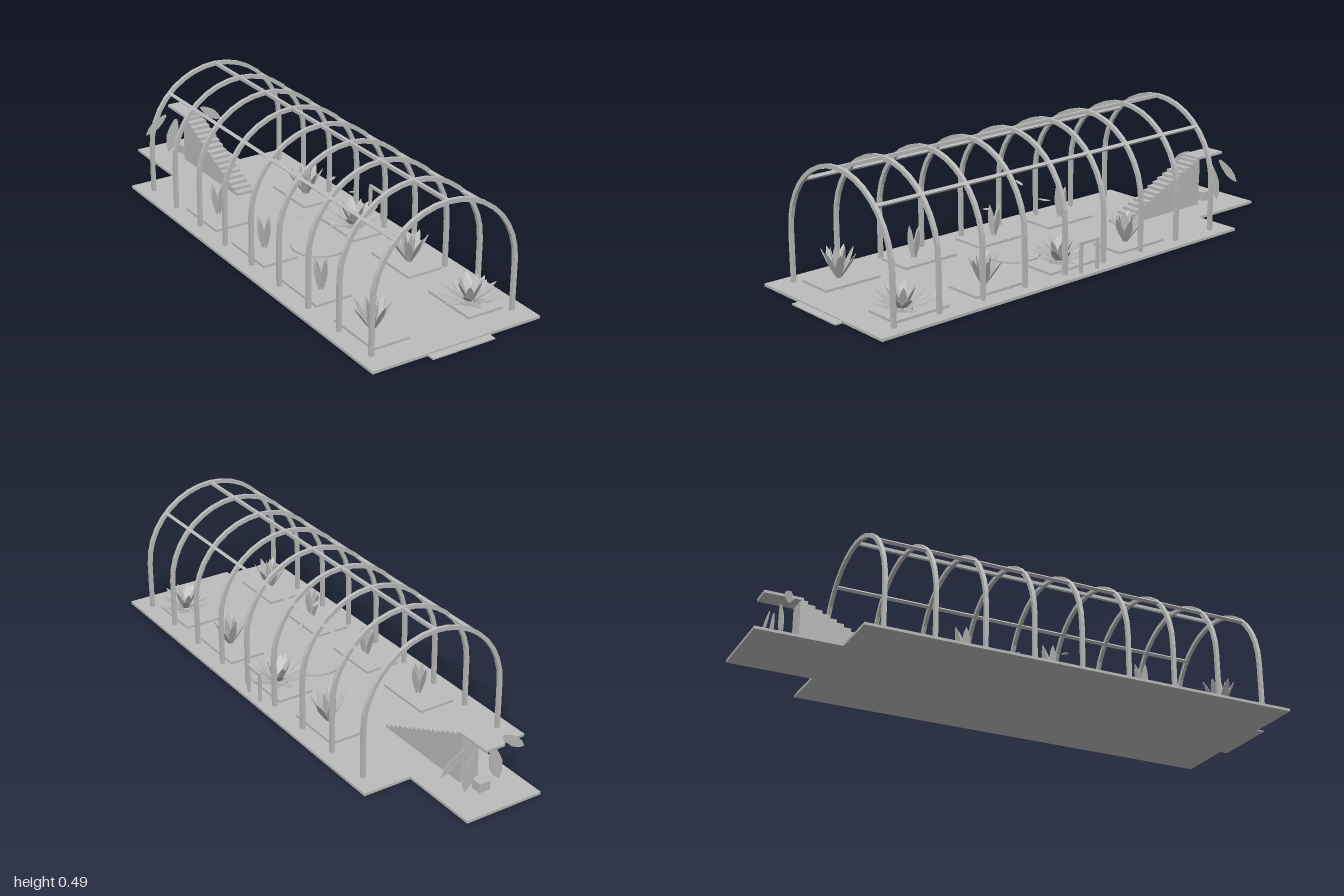
import * as THREE from 'three';

const stone = new THREE.MeshStandardMaterial({ color: 0xbcbcbc, flatShading: true });
stone.name = 'plain grey';

export function createModel() {
  const root = new THREE.Group();
  root.name = 'greenhouse';

  const add = (name, geo, parent = root) => {
    const m = new THREE.Mesh(geo, stone);
    m.name = name;
    parent.add(m);
    return m;
  };
  // Box given by its limits on each axis
  const box = (name, x0, x1, y0, y1, z0, z1, parent = root) => {
    const m = add(name, new THREE.BoxGeometry(x1 - x0, y1 - y0, z1 - z0), parent);
    m.position.set((x0 + x1) / 2, (y0 + y1) / 2, (z0 + z1) / 2);
    return m;
  };
  const extrude = (points, depth) => new THREE.ExtrudeGeometry(
    new THREE.Shape(points.map(p => new THREE.Vector2(p[0], p[1]))),
    { depth, bevelEnabled: false });

  // Floor slabs
  box('floor', -0.338, 0.338, 0, 0.01, -0.69, 0.97);
  box('backPlatform', -0.152, 0.152, 0, 0.01, -1, -0.69);
  box('frontStep', -0.125, 0.125, 0, 0.005, 0.97, 1);

  // Arched ribs
  const springY = 0.195, outer = 0.293, inner = 0.278;
  const arch = [[outer, 0.01]];
  for (let i = 0; i <= 18; i++) {
    const a = i * Math.PI / 18;
    arch.push([outer * Math.cos(a), springY + outer * Math.sin(a)]);
  }
  arch.push([-outer, 0.01], [-inner, 0.01]);
  for (let i = 18; i >= 0; i--) {
    const a = i * Math.PI / 18;
    arch.push([inner * Math.cos(a), springY + inner * Math.sin(a)]);
  }
  arch.push([inner, 0.01]);
  const archGeo = extrude(arch, 0.014).translate(0, 0, -0.007);
  for (let i = 0; i < 9; i++) add('archRib', archGeo).position.z = -0.604 + i * 0.1862;

  // Long roof bars tying the ribs together
  for (const a of [-1, 0, 1].map(s => s * Math.PI / 4)) {
    const bar = add('roofBar', new THREE.BoxGeometry(0.012, 0.012, 1.49));
    bar.position.set(0.2855 * Math.sin(a), springY + 0.2855 * Math.cos(a), 0.141);
    bar.rotation.z = -a;
  }

  // Staircase with a solid side and an overhanging landing
  const steps = 16, profile = [[0.385, 0.01]];
  for (let i = 0; i < steps; i++) {
    const y = 0.01 + (i + 1) * 0.185 / steps;
    profile.push([0.385 + i * 0.425 / steps, y], [0.385 + (i + 1) * 0.425 / steps, y]);
  }
  profile.push([0.81, 0.01]);
  add('staircase', extrude(profile, 0.075).rotateY(Math.PI / 2).translate(-0.0375, 0, 0));
  box('landing', -0.039, 0.039, 0.194, 0.204, -0.94, -0.8);

  // Flat leaf growing along +y from the origin
  const leafGeo = (length, width) => extrude([
    [-0.12, 0], [0.12, 0], [0.38, 0.25], [0.5, 0.52], [0.34, 0.8], [0, 1],
    [-0.34, 0.8], [-0.5, 0.52], [-0.38, 0.25],
  ].map(([x, y]) => [x * width, y * length]), 0.002).translate(0, 0, -0.001);

  // Hanging leaves and pedestal under the landing
  box('pedestal', -0.022, 0.022, 0.01, 0.045, -0.897, -0.855);
  for (const s of [-1, 1]) {
    for (const [x0, y0, x1, y1, w] of [
      [0.08, 0.187, 0.173, 0.118, 0.038], [0.035, 0.16, 0.072, 0.025, 0.055]]) {
      const leaf = add('hangingLeaf', leafGeo(Math.hypot(x1 - x0, y1 - y0), w));
      leaf.position.set(s * x0, y0, -0.88);
      leaf.rotation.z = -Math.atan2(s * (x1 - x0), y1 - y0);
    }
  }

  // A plant is a set of rings: [leaf count, tilt in degrees, length, width]
  const plant = (name, x, z, rings) => {
    const g = new THREE.Group();
    g.name = name;
    g.position.set(x, 0.018, z);
    rings.forEach(([n, tilt, length, width], r) => {
      const geo = leafGeo(length, width);
      for (let i = 0; i < n; i++) {
        const leaf = add('leaf', geo, g);
        const turn = (i + r * 0.5) * 2 * Math.PI / n + 0.2;
        leaf.rotation.set((tilt + (i % 3 - 1) * 4) * Math.PI / 180, turn, 0, 'YXZ');
        leaf.position.set(Math.sin(turn) * 0.008, 0.004, Math.cos(turn) * 0.008);
      }
    });
    root.add(g);
    return g;
  };
  const upright = [[7, 30, 0.115, 0.03], [5, 9, 0.112, 0.026]];
  const rosette = [[11, 73, 0.105, 0.028], [9, 53, 0.105, 0.028], [7, 27, 0.095, 0.026]];
  const bud = [[4, 9, 0.115, 0.03]];

  // Planting beds in two rows
  [-0.266, -0.04, 0.41, 0.75].forEach((_, i) => {
    const z = -0.266 + i * 0.339;
    box('leftBed', 0.12, 0.263, 0.01, 0.019, z - 0.114, z + 0.114);
    box('rightBed', -0.263, -0.12, 0.01, 0.019, z - 0.114, z + 0.114);
  });
  [[-0.25, upright], [0.08, rosette], [0.43, upright], [0.78, rosette]].forEach(([z, rings]) => {
    const g = plant(rings === rosette ? 'rosettePlant' : 'uprightPlant', 0.19, z, rings);
    if (rings === rosette) {
      add('plantBase', new THREE.CylinderGeometry(0.037, 0.037, 0.01, 16), g).position.y = 0.005;
    }
  });
  [-0.27, 0.065, 0.44].forEach(z => plant('budPlant', -0.187, z, bud));
  plant('uprightPlant', -0.195, 0.76, upright);

  // Round basin in the middle of the floor
  add('basin', new THREE.CylinderGeometry(0.105, 0.105, 0.008, 32)).position.set(0, 0.014, 0.138);

  // Drifting leaves above the basin: position, length, slope, turn
  for (const [x, y, z, length, slope, turn] of [
    [0.007, 0.275, 0.107, 0.036, -0.4, 0.2], [0.1, 0.225, 0.07, 0.046, -0.06, 0.5],
    [0.13, 0.197, 0.155, 0.032, -0.25, 0.3], [0.07, 0.12, 0.09, 0.032, 0.35, -0.4],
    [-0.1, 0.165, 0.17, 0.03, 0, 0.8]]) {
    const flat = leafGeo(length, 0.016).translate(0, -length / 2, 0)
      .rotateZ(-Math.PI / 2).rotateX(-Math.PI / 2);
    const leaf = add('driftingLeaf', flat);
    leaf.position.set(x, y, z);
    leaf.rotation.set(0, turn, slope, 'YZX');
  }

  // Small gate frame outside the left wall
  box('gatePost', 0.307, 0.317, 0.01, 0.115, 0.005, 0.015);
  box('gatePost', 0.307, 0.317, 0.01, 0.115, 0.083, 0.093);
  box('gateBeam', 0.307, 0.317, 0.115, 0.125, 0.005, 0.093);

  return root;
}
